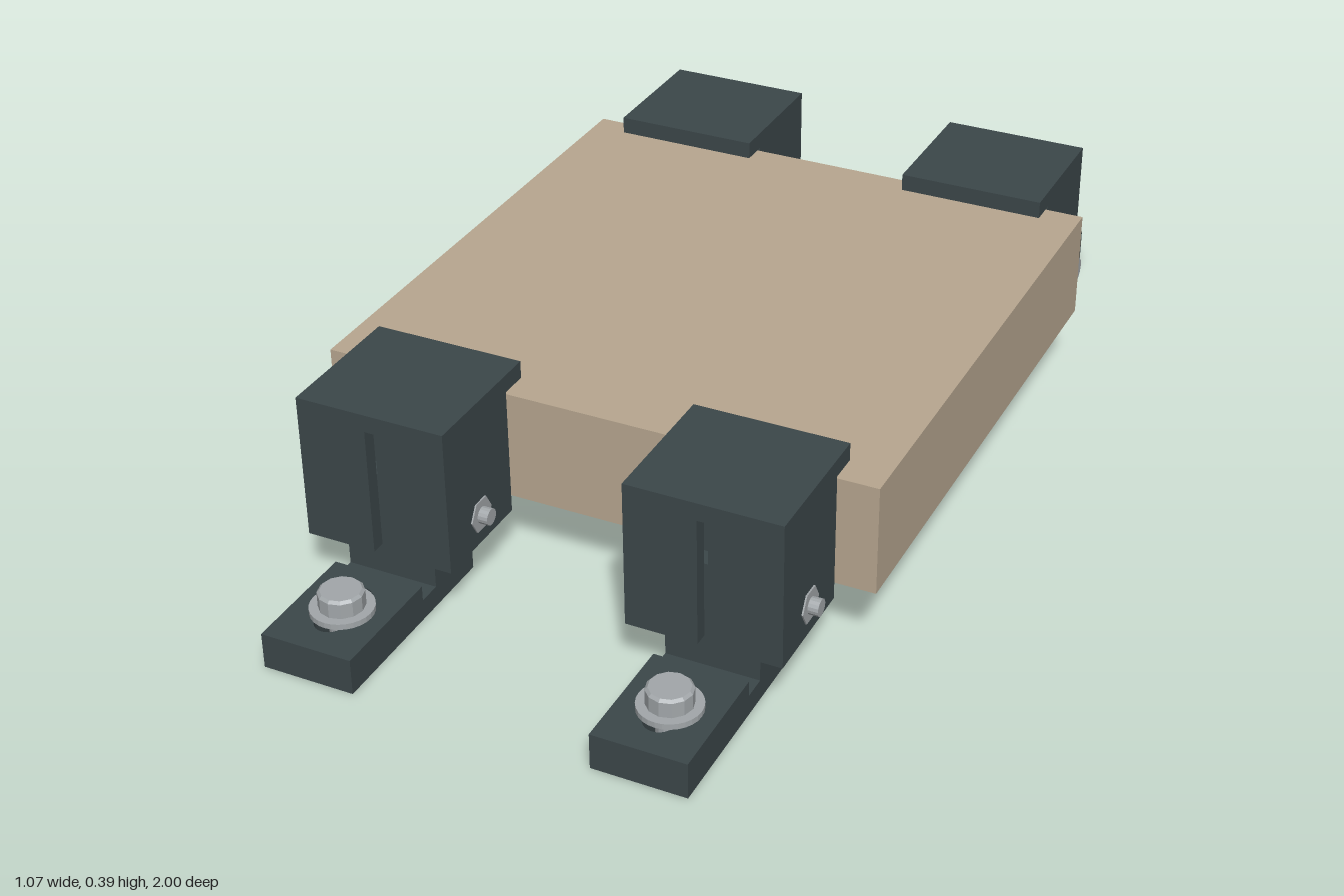
import * as THREE from 'three';
import { RoundedBoxGeometry } from 'three/addons/geometries/RoundedBoxGeometry.js';

const mat = (name, color) => new THREE.MeshStandardMaterial({ name, color });

export function createModel() {
  const tan = mat('tan board', 0xb8a790);
  const dark = mat('dark slate', 0x3c474a);
  const steel = mat('steel', 0xa2a7aa);
  const grey = mat('grey rubber', 0x75807d);
  steel.flatShading = true;

  const add = (parent, name, geometry, material) => {
    const mesh = new THREE.Mesh(geometry, material);
    mesh.name = name;
    parent.add(mesh);
    return mesh;
  };
  // Box given by its limits on each axis
  const box = (x0, x1, y0, y1, z0, z1) =>
    new THREE.BoxGeometry(x1 - x0, y1 - y0, z1 - z0)
      .translate((x0 + x1) / 2, (y0 + y1) / 2, (z0 + z1) / 2);
  const polygon = (points) => new THREE.Shape(points.map(([x, y]) => new THREE.Vector2(x, y)));
  const extrude = (shape, depth) =>
    new THREE.ExtrudeGeometry(shape, { depth, bevelEnabled: false, curveSegments: 10 });
  // Plan shape (x, z) raised from y0 to y1
  const raise = (shape, y0, y1) => extrude(shape, y1 - y0).rotateX(Math.PI / 2).translate(0, y1, 0);
  // Side shape (z, y) spread across x
  const spread = (shape, width) => extrude(shape, width).rotateY(-Math.PI / 2).translate(width / 2, 0, 0);
  // Round-ended slot, long in the second axis
  const slot = (cx, y0, y1, r) => {
    const p = new THREE.Path();
    p.absarc(cx, y1 - r, r, 0, Math.PI, false);
    p.absarc(cx, y0 + r, r, Math.PI, Math.PI * 2, false);
    p.closePath();
    return p;
  };

  // Bolt standing on y = 0, with washer, flanged head and shank below
  const bolt = (name, washerR, washerH, headR, headH, shankR, shankLength) => {
    const g = new THREE.Group();
    g.name = name;
    add(g, 'washer', new THREE.CylinderGeometry(washerR, washerR, washerH, 28).translate(0, washerH / 2, 0), steel);
    const chamfer = 0.005;
    add(g, 'boltHead', new THREE.LatheGeometry([
      [headR, washerH], [headR, washerH + headH - chamfer],
      [headR - chamfer, washerH + headH], [0, washerH + headH],
    ].map(([x, y]) => new THREE.Vector2(x, y)), 12), steel);
    add(g, 'boltShank', new THREE.CylinderGeometry(shankR, shankR, shankLength, 16)
      .translate(0, -shankLength / 2, 0), steel);
    return g;
  };

  const makeClamp = () => {
    const clamp = new THREE.Group();
    const w = 0.146, s = 0.01, c = 0.092;

    // Hollow lower block, split by a narrow slit on its outer face
    add(clamp, 'clampWalls', raise(polygon([
      [-w, 0.54], [w, 0.54], [w, 0.757], [s, 0.757], [s, 0.73], [c, 0.73],
      [c, 0.58], [-c, 0.58], [-c, 0.73], [-s, 0.73], [-s, 0.757], [-w, 0.757],
    ]), 0.11, 0.285), dark);
    // Solid upper block with the slit running on as a groove
    add(clamp, 'clampBlock', raise(polygon([
      [-w, 0.54], [w, 0.54], [w, 0.757], [s, 0.757],
      [s, 0.73], [-s, 0.73], [-s, 0.757], [-w, 0.757],
    ]), 0.285, 0.36), dark);
    // Lip that reaches over the board
    add(clamp, 'clampLip', box(-w, w, 0.36, 0.394, 0.485, 0.757), dark);

    // Foot: slotted pad, thin neck and slotted upright tab
    const f = 0.089;
    const pad = polygon([[-f, 0.765], [f, 0.765], [f, 1], [-f, 1]]);
    pad.holes.push(slot(0, 0.81, 0.95, 0.028));
    add(clamp, 'footPad', raise(pad, 0, 0.07), dark);
    add(clamp, 'footNeck', box(-f, f, 0, 0.04, 0.72, 0.765), dark);
    const tab = polygon([[0.592, 0], [0.72, 0], [0.72, 0.25], [0.592, 0.25]]);
    tab.holes.push(slot(0.652, 0.075, 0.21, 0.019));
    add(clamp, 'footTab', spread(tab, f * 2), dark);

    // Anchor bolt through the pad
    const anchor = bolt('anchorBolt', 0.058, 0.011, 0.042, 0.034, 0.026, 0.05);
    anchor.position.set(0, 0.07, 0.882);
    clamp.add(anchor);

    // Cross bolt through the block, with a nut sunk in the far side
    const cross = bolt('crossBolt', 0.038, 0.009, 0.033, 0.03, 0.016, 0.314);
    cross.rotation.z = Math.PI / 2;
    cross.position.set(-w, 0.168, 0.648);
    clamp.add(cross);
    add(clamp, 'nut', new THREE.CylinderGeometry(0.034, 0.034, 0.02, 6)
      .rotateZ(Math.PI / 2).translate(w - 0.007, 0.168, 0.648), steel);
    return clamp;
  };

  const model = new THREE.Group();
  model.name = 'clampedBoard';
  add(model, 'board', box(-0.537, 0.537, 0.14, 0.354, -0.537, 0.537), tan);

  // Rubber blocks under the board
  for (const side of [-1, 1]) {
    const pad = add(model, side > 0 ? 'leftBumper' : 'rightBumper',
      new RoundedBoxGeometry(0.2, 0.132, 0.2, 3, 0.012), grey);
    pad.position.set(side * 0.295, 0.075, 0.003);
  }

  // Two clamps at the front, and the same pair turned round at the back
  for (const turn of [0, Math.PI]) {
    const pair = new THREE.Group();
    pair.name = turn ? 'backClamps' : 'frontClamps';
    pair.rotation.y = turn;
    for (const x of [-0.317, 0.315]) {
      const clamp = makeClamp();
      clamp.name = 'clamp';
      clamp.position.x = x;
      pair.add(clamp);
    }
    model.add(pair);
  }
  return model;
}
